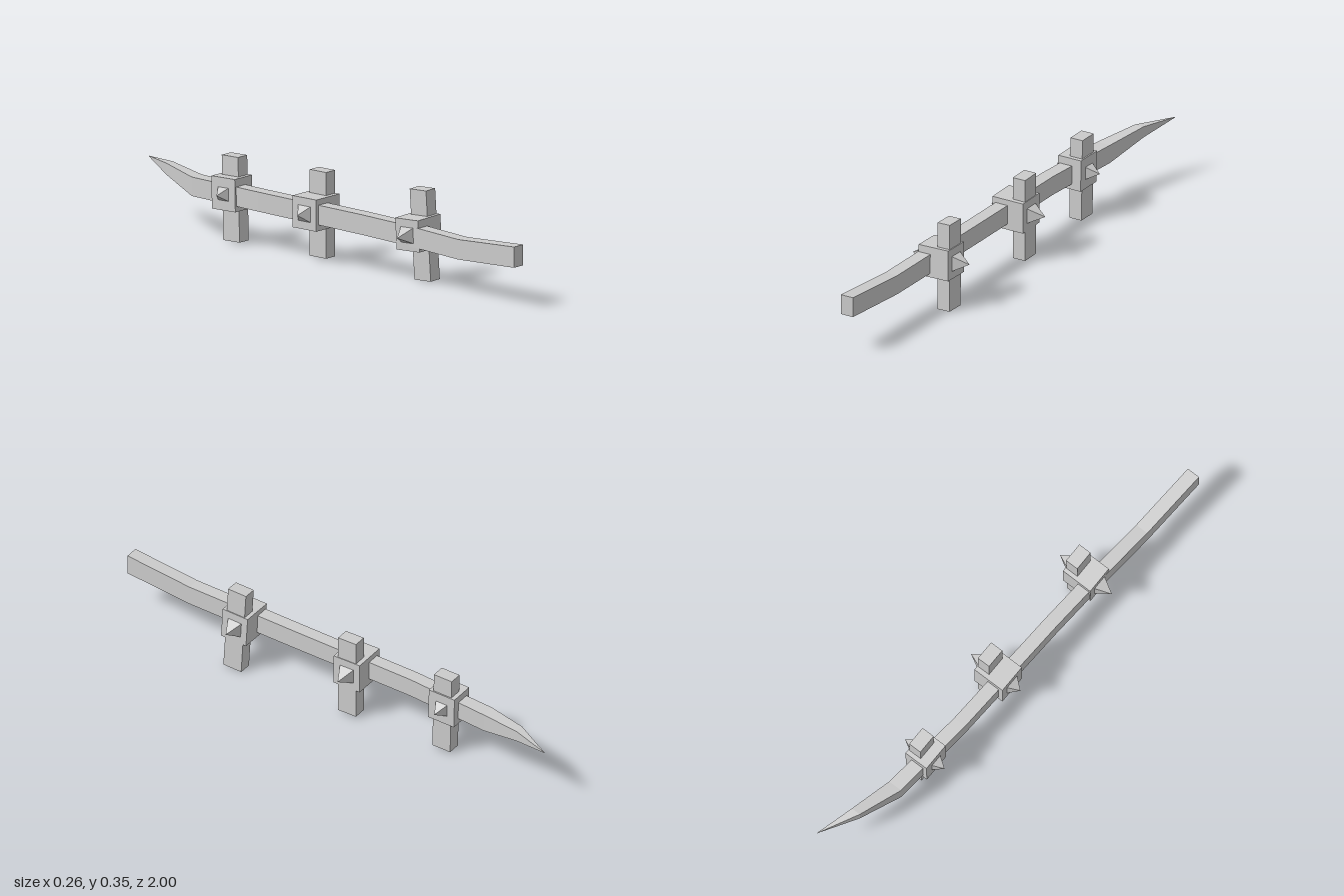
import * as THREE from 'three';

const material = new THREE.MeshStandardMaterial({ color: 0xcccccc, flatShading: true });

function addMesh(parent, name, geometry, x, y, z) {
  const mesh = new THREE.Mesh(geometry, material);
  mesh.name = name;
  mesh.position.set(x, y, z);
  parent.add(mesh);
  return mesh;
}

// Rectangular loft along z; each section is [z, xMin, xMax, yMin, yMax]
function loft(sections) {
  const rings = sections.map(([z, x0, x1, y0, y1]) =>
    [[x0, y0, z], [x1, y0, z], [x1, y1, z], [x0, y1, z]]);
  const out = [];
  const quad = (a, b, c, d) => out.push(...a, ...b, ...c, ...a, ...c, ...d);
  for (let i = 0; i < rings.length - 1; i++) {
    const f = rings[i], b = rings[i + 1];
    for (let k = 0; k < 4; k++) {
      const n = (k + 1) % 4;
      quad(f[n], f[k], b[k], b[n]);
    }
  }
  quad(...rings[0]);
  quad(...rings[rings.length - 1].slice().reverse());
  const geometry = new THREE.BufferGeometry();
  geometry.setAttribute('position', new THREE.Float32BufferAttribute(out, 3));
  geometry.computeVertexNormals();
  return geometry;
}

// Four-sided spike pointing along x, base at the origin
function spikeGeometry(width, length, side) {
  return new THREE.ConeGeometry(width / Math.SQRT2, length, 4)
    .rotateY(Math.PI / 4)
    .translate(0, length / 2, 0)
    .rotateZ(-side * Math.PI / 2);
}

export function createModel() {
  const model = new THREE.Group();
  model.name = 'spikedShaft';

  // Gently bent shaft ending in a curved point at the back
  addMesh(model, 'shaft', loft([
    [1.0, -0.11, -0.057, 0.157, 0.237],
    [0.71, -0.093, -0.04, 0.141, 0.218],
    [0.44, -0.073, -0.02, 0.149, 0.227],
    [0.2, -0.06, -0.007, 0.153, 0.23],
    [-0.065, -0.05, 0.003, 0.155, 0.231],
    [-0.32, -0.04, 0.013, 0.157, 0.232],
    [-0.5, -0.024, 0.03, 0.157, 0.231],
    [-0.67, -0.01, 0.047, 0.157, 0.23],
    [-0.845, 0.048, 0.086, 0.202, 0.246],
    [-1.0, 0.129, 0.13, 0.234, 0.236],
  ]), 0, 0, 0);

  // Three collars, each with a crossing post and a spike on either side
  const joints = [
    { z: 0.445, x: -0.01, y: 0.192, size: [0.13, 0.122, 0.112], postX: 0.025, post: [0.002, 0.351], tips: [-0.134, 0.114], spike: 0.06, tilt: [-0.045, 0.025] },
    { z: -0.07, x: 0.002, y: 0.192, size: [0.134, 0.122, 0.117], postX: 0.04, post: [0.01, 0.342], tips: [-0.105, 0.131], spike: 0.06, tilt: [0, 0] },
    { z: -0.492, x: 0.013, y: 0.197, size: [0.1, 0.126, 0.115], postX: 0.031, post: [0.008, 0.335], tips: [-0.077, 0.112], spike: 0.05, tilt: [-0.023, 0] },
  ];
  for (const j of joints) {
    const joint = new THREE.Group();
    joint.name = 'spikedJoint';
    joint.position.set(j.x, j.y, j.z);
    joint.rotation.set(j.tilt[0], 0, j.tilt[1]);
    model.add(joint);

    addMesh(joint, 'collar', new THREE.BoxGeometry(...j.size), 0, 0, 0);
    const [low, high] = j.post;
    addMesh(joint, 'post', new THREE.BoxGeometry(0.053, high - low, 0.08),
      j.postX - j.x, (low + high) / 2 - j.y, 0);
    j.tips.forEach((tip, i) => {
      const side = i === 0 ? -1 : 1;
      const base = side * j.size[0] / 2;
      const length = Math.abs(tip - j.x - base);
      addMesh(joint, side < 0 ? 'rightSpike' : 'leftSpike',
        spikeGeometry(j.spike, length, side), base, 0, 0);
    });
  }
  return model;
}
